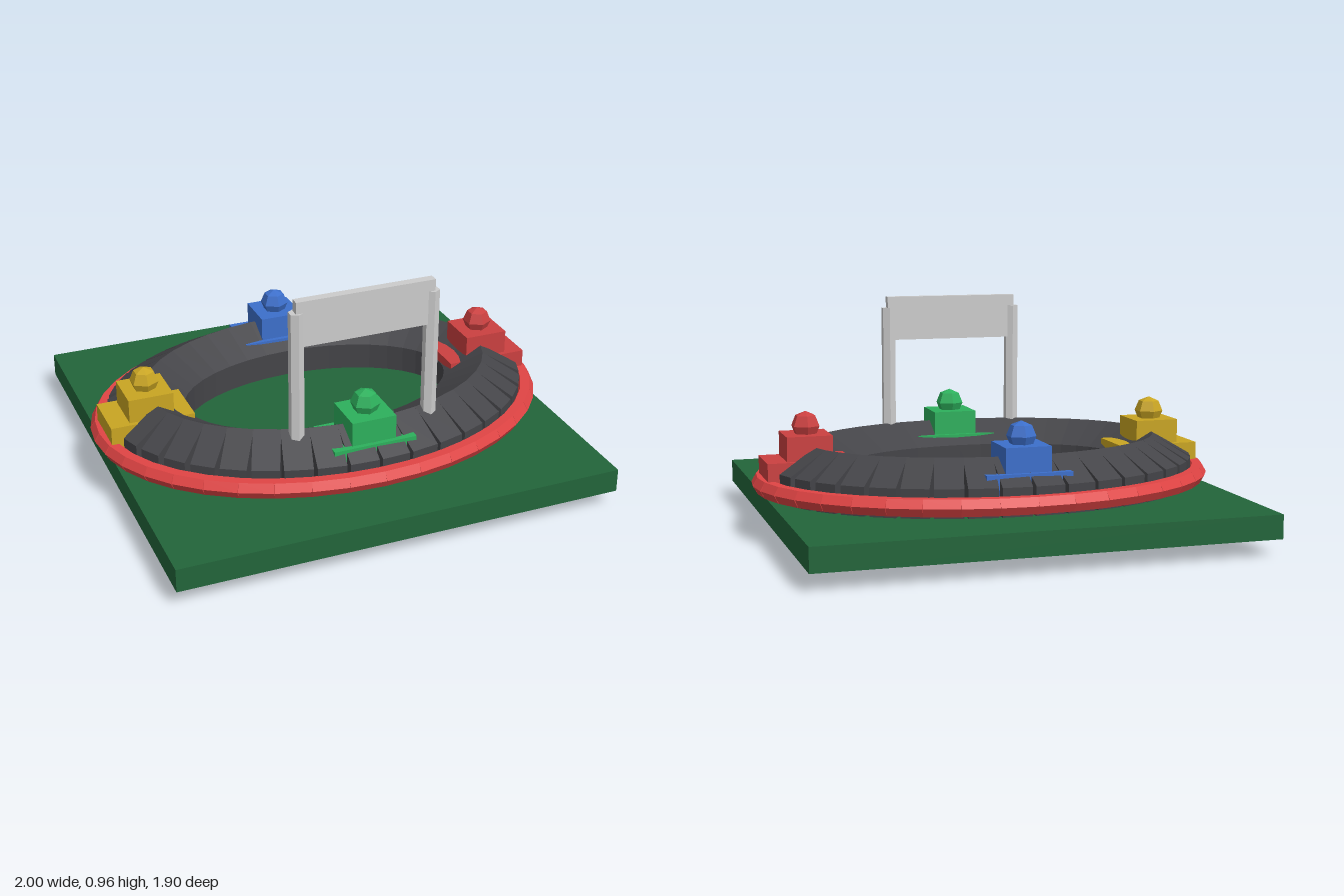
import * as THREE from 'three';

const paint = (name, color) => {
  const m = new THREE.MeshStandardMaterial({ color, flatShading: true });
  m.name = name;
  return m;
};

export function createModel() {
  const model = new THREE.Group();
  model.name = 'raceTrack';

  const grass = paint('grass green', 0x22653a);
  const asphalt = paint('asphalt grey', 0x444448);
  const barrierRed = paint('barrier red', 0xe04444);
  const gateGrey = paint('gate grey', 0xcccccc);

  const add = (parent, name, geometry, material, x, y, z) => {
    const mesh = new THREE.Mesh(geometry, material);
    mesh.name = name;
    mesh.position.set(x, y, z);
    parent.add(mesh);
    return mesh;
  };

  // Ground slab
  add(model, 'ground', new THREE.BoxGeometry(1.9, 0.1, 1.9), grass, 0, 0.12, 0);

  // Closed oval made of short straight six-sided bars, one per chord
  const oval = (name, a, b, y, radius, twist, stretch, material, count = 40) => {
    const group = new THREE.Group();
    group.name = name;
    const point = (i) => {
      const t = (i / count) * Math.PI * 2;
      return new THREE.Vector3(a * Math.cos(t), y, b * Math.sin(t));
    };
    for (let i = 0; i < count; i++) {
      const p = point(i);
      const q = point(i + 1);
      const geometry = new THREE.CylinderGeometry(radius, radius, p.distanceTo(q) * stretch, 6);
      geometry.rotateX(Math.PI / 2).rotateZ(twist);
      const mid = p.clone().add(q).multiplyScalar(0.5);
      const bar = add(group, name + 'Segment', geometry, material, mid.x, mid.y, mid.z);
      bar.rotation.y = Math.atan2(q.x - p.x, q.z - p.z);
    }
    model.add(group);
  };
  oval('track', 0.762, 0.523, 0.192, 0.192, 0, 1.03, asphalt);
  oval('barrier', 0.96, 0.708, 0.22, 0.04, Math.PI / 6, 1.02, barrierRed);

  // Four karts, each with a wide base, a cabin and a driver's head
  const karts = [
    ['redKart', 0xcb4040, 0.775, 0],
    ['greenKart', 0x2db05c, 0, 0.52],
    ['yellowKart', 0xc9a522, -0.775, 0],
    ['blueKart', 0x3c6fcb, 0, -0.52],
  ];
  for (const [name, color, x, z] of karts) {
    const material = paint(name + ' paint', color);
    const kart = new THREE.Group();
    kart.name = name;
    kart.position.set(x, 0, z);
    add(kart, 'base', new THREE.BoxGeometry(0.36, 0.13, 0.23), material, 0, 0.265, 0);
    add(kart, 'cabin', new THREE.BoxGeometry(0.192, 0.11, 0.192), material, 0, 0.378, 0);
    const head = add(kart, 'head', new THREE.SphereGeometry(0.062, 6, 4), material, 0, 0.465, 0);
    head.rotation.y = Math.PI / 6;
    model.add(kart);
  }

  // Start gate over the front straight
  const gate = new THREE.Group();
  gate.name = 'startGate';
  gate.position.z = 0.503;
  for (const side of [-1, 1]) {
    add(gate, 'gatePost', new THREE.CylinderGeometry(0.032, 0.032, 0.7, 6), gateGrey, side * 0.292, 0.56, 0);
  }
  add(gate, 'gateBanner', new THREE.BoxGeometry(0.597, 0.195, 0.038), gateGrey, 0, 0.862, 0);
  model.add(gate);

  return model;
}
